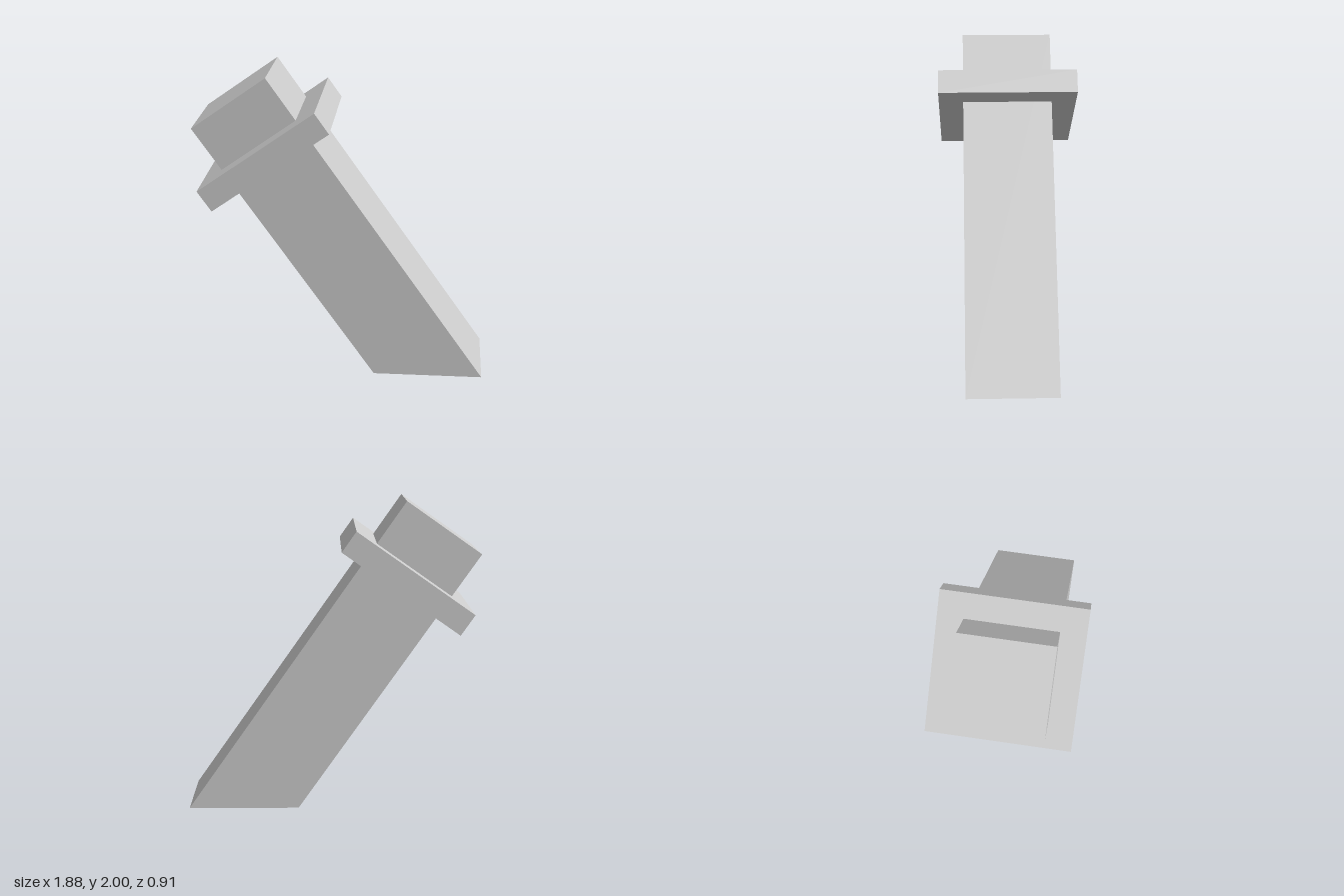
import * as THREE from 'three';

const stone = new THREE.MeshStandardMaterial({ color: 0xcccccc });
stone.name = 'light grey';

// Extrudes a front-facing outline symmetrically about z = 0
function slab(name, outline, depth) {
  const shape = new THREE.Shape(outline.map(([x, y]) => new THREE.Vector2(x, y)));
  const geometry = new THREE.ExtrudeGeometry(shape, { depth, bevelEnabled: false });
  geometry.translate(0, 0, -depth / 2);
  const mesh = new THREE.Mesh(geometry, stone);
  mesh.name = name;
  return mesh;
}

export function createModel() {
  const model = new THREE.Group();
  model.name = 'leaningPost';

  // Leaning square post, cut level at the ground and square at the top
  model.add(slab('post', [[0.225, 0], [0.938, 0], [-0.462, 2], [-0.938, 1.666]], 0.586));

  // Wider square collar around the post, perpendicular to its axis
  model.add(slab('collar', [[-0.795, 1.176], [-0.052, 1.697], [-0.143, 1.827], [-0.885, 1.306]], 0.909));

  return model;
}
